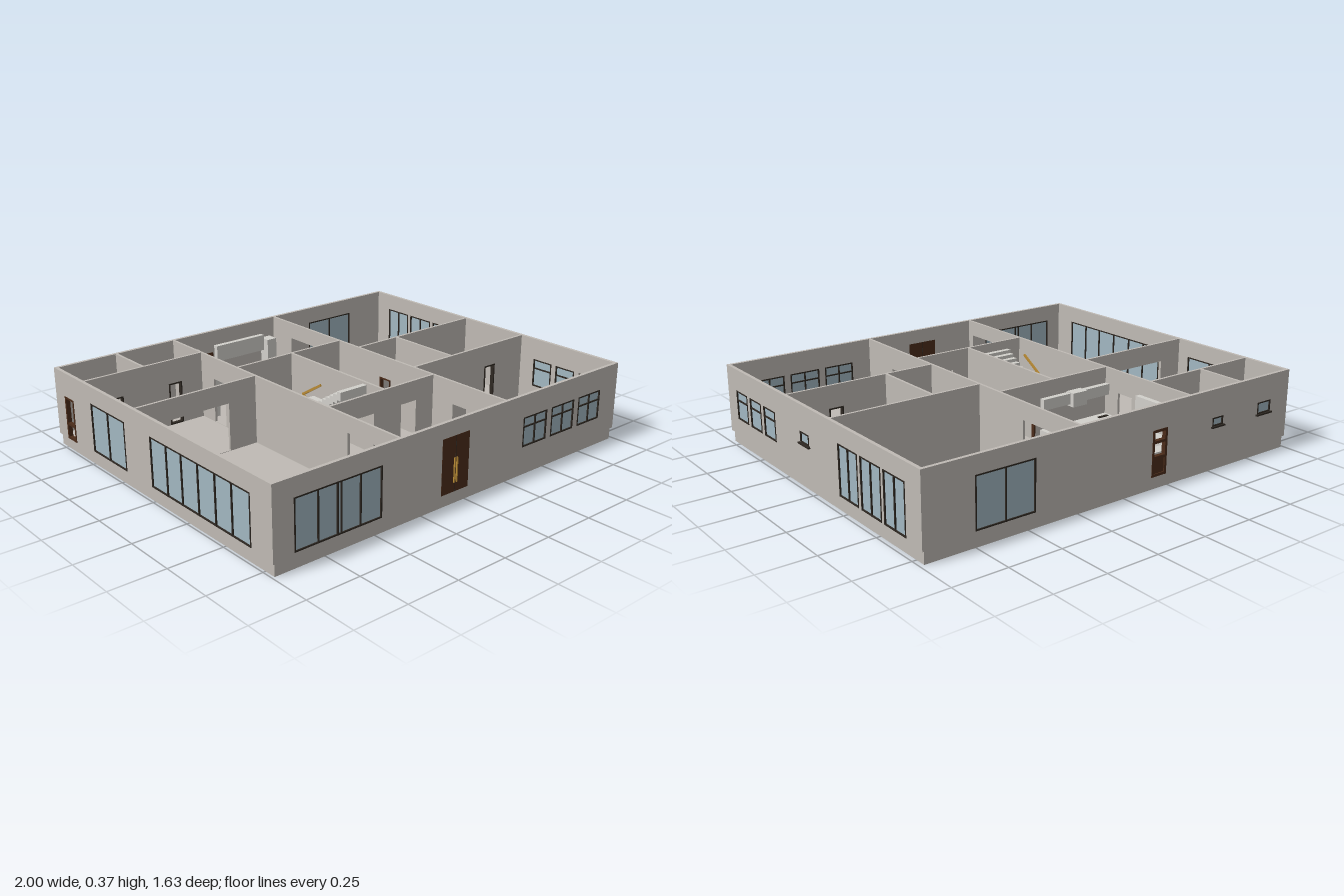
import * as THREE from 'three';

const mat = (name, color) => {
  const m = new THREE.MeshStandardMaterial({ color });
  m.name = name;
  return m;
};

export function createModel() {
  const root = new THREE.Group();
  root.name = 'housePlan';
  const plaster = mat('plaster', 0xbfbab4);
  const glass = mat('glass', 0xa2b7c1);
  const frame = mat('darkFrame', 0x2e2822);
  const wood = mat('darkWood', 0x4b2c1a);
  const gold = mat('gold', 0xb88a35);
  const white = mat('white', 0xd2d0cb);
  const FLOOR = 0.055, TOP = 0.374;

  const add = (parent, name, geo, material) => {
    const m = new THREE.Mesh(geo, material);
    m.name = name;
    parent.add(m);
    return m;
  };
  // Box given by its two extreme corners
  const box = (parent, name, x0, x1, y0, y1, z0, z1, material) => {
    const m = add(parent, name, new THREE.BoxGeometry(x1 - x0, y1 - y0, z1 - z0), material);
    m.position.set((x0 + x1) / 2, (y0 + y1) / 2, (z0 + z1) / 2);
    return m;
  };
  const cyl = (parent, name, x, y, z, r0, r1, h, material) => {
    const m = add(parent, name, new THREE.CylinderGeometry(r0, r1, h, 20), material);
    m.position.set(x, y, z);
    return m;
  };

  // Wall along 'x' (at z = pos) or along 'z' (at x = pos); openings are [from, to, bottom, top]
  const wall = (name, axis, pos, from, to, openings = [], t = 0.012, bottom = 0.05) => {
    const g = new THREE.Group();
    g.name = name;
    const rect = (target, a, b, c, d) => target.moveTo(a, c).lineTo(b, c).lineTo(b, d).lineTo(a, d).closePath();
    const shape = rect(new THREE.Shape(), from, to, bottom, TOP);
    for (const [a, b, c, d] of openings) shape.holes.push(rect(new THREE.Path(), a, b, c, d));
    const geo = new THREE.ExtrudeGeometry(shape, { depth: t, bevelEnabled: false });
    add(g, name + 'Panel', geo.translate(0, 0, -t / 2), plaster);
    if (axis === 'x') g.position.z = pos;
    else { g.position.x = pos; g.rotation.y = -Math.PI / 2; }
    root.add(g);
    return g;
  };
  // Dark border with bars: uprights and rails are fractions of the opening
  const border = (g, name, [a, b, c, d], uprights, rails, material, w = 0.006, t = 0.02) => {
    const h = t / 2;
    for (const f of [0, ...uprights, 1]) {
      const x = a + w / 2 + f * (b - a - w);
      box(g, name + 'Upright', x - w / 2, x + w / 2, c, d, -h, h, material);
    }
    for (const f of [0, ...rails, 1]) {
      const y = c + w / 2 + f * (d - c - w);
      box(g, name + 'Rail', a, b, y - w / 2, y + w / 2, -h + 0.0005, h - 0.0005, material);
    }
  };
  const windowUnit = (g, o, uprights = [], rails = []) => {
    box(g, 'windowGlass', o[0], o[1], o[2], o[3], -0.004, 0.004, glass);
    border(g, 'windowFrame', o, uprights, rails, frame);
  };
  const sill = (g, o, out) => {
    const z = [0, out * 0.018].sort((p, q) => p - q);
    box(g, 'windowSill', o[0] - 0.008, o[1] + 0.008, o[2] - 0.006, o[2] + 0.001, z[0], z[1], frame);
  };

  // Foundation slab
  box(root, 'foundationSlab', -0.988, 0.98, 0, FLOOR, -0.8, 0.804, plaster);

  // Front wall: wide glazing, double door, three windows
  const wide = [-0.9, -0.47, 0.07, 0.292];
  const door = [-0.145, 0.01, 0.057, 0.306];
  const frontSmall = [0.345, 0.53, 0.715].map(x => [x, x + 0.153, 0.135, 0.272]);
  const front = wall('frontWall', 'x', 0.802, -0.998, 0.99, [wide, door, ...frontSmall], 0.016, FLOOR);
  windowUnit(front, wide, [0.26, 0.48, 0.525, 0.75]);
  frontSmall.forEach(o => windowUnit(front, o, [0.5], [0.68]));
  box(front, 'frontDoor', -0.145, 0.01, 0.057, 0.306, -0.008, 0.009, wood);
  box(front, 'doorSeam', -0.069, -0.066, 0.057, 0.306, -0.009, 0.01, frame);
  for (const x of [-0.076, -0.062])
    for (const z of [-0.013, 0.013])
      box(front, 'doorHandle', x - 0.003, x + 0.003, 0.1, 0.21, z - 0.003, z + 0.003, gold);

  // Side wall on +x
  const leftSmall = [0.61, 0.472, 0.335].map(z => [z, z + 0.11, 0.135, 0.272]);
  const tall = [-0.362, -0.532, -0.7].map(z => [z, z + 0.15, 0.07, 0.295]);
  const vent = [0.03, 0.105, 0.205, 0.255];
  const left = wall('leftWall', 'z', 0.982, -0.805, 0.81, [...leftSmall, ...tall, vent], 0.016, FLOOR);
  leftSmall.forEach(o => windowUnit(left, o, [], [0.68]));
  tall.forEach(o => windowUnit(left, o, [0.5]));
  windowUnit(left, vent);
  sill(left, vent, -1);

  // Side wall on -x
  const sideDoor = [-0.72, -0.64, 0.057, 0.26];
  const glassA = [-0.48, -0.2, 0.07, 0.295], glassB = [0, 0.68, 0.07, 0.295];
  const right = wall('rightWall', 'z', -0.99, -0.805, 0.81, [sideDoor, glassA, glassB], 0.016, FLOOR);
  windowUnit(right, glassA, [0.5]);
  windowUnit(right, glassB, [0.17, 0.33, 0.5, 0.67, 0.83]);
  border(right, 'sideDoorFrame', sideDoor, [], [0.35], wood, 0.01);

  // Back wall
  const patio = [0.47, 0.755, 0.07, 0.295];
  const backDoor = [-0.232, -0.148, 0.057, 0.265];
  const backSmall = [[-0.57, -0.505, 0.205, 0.245], [-0.88, -0.795, 0.2, 0.255]];
  const back = wall('backWall', 'x', -0.797, -0.998, 0.99, [patio, backDoor, ...backSmall], 0.016, FLOOR);
  windowUnit(back, patio, [0.5]);
  border(back, 'backDoorFrame', backDoor, [], [0.4, 0.75], wood, 0.012);
  box(back, 'backDoorPanel', -0.23, -0.15, 0.06, 0.14, -0.005, 0.005, wood);
  backSmall.forEach(o => { windowUnit(back, o); sill(back, o, -1); });

  // Inner walls with doorways
  const D = 0.057;
  const bathDoors = [[-0.87, -0.8, D, 0.26], [-0.56, -0.49, D, 0.26]];
  const bath = wall('bathWall', 'x', -0.555, -0.982, -0.37, bathDoors);
  bathDoors.forEach(o => border(bath, 'doorFrame', o, [], [], frame));
  wall('bathDivider', 'z', -0.685, -0.79, -0.555);
  wall('livingWall', 'x', -0.13, -0.982, -0.37, [[-0.86, -0.52, D, 0.28]]);
  wall('westHallWall', 'z', -0.37, -0.79, 0.795, [[-0.45, -0.36, D, 0.27], [0.5, 0.76, D, 0.3]]);
  const hallDoor = [0.03, 0.1, D, 0.27];
  const east = wall('eastHallWall', 'z', 0.24, -0.79, 0.795,
    [[-0.64, -0.44, D, 0.295], hallDoor, [0.5, 0.58, D, 0.27]]);
  border(east, 'doorFrame', hallDoor, [], [], wood);
  const kitchenDoor = [0.05, 0.12, D, 0.27];
  const kw = wall('kitchenWall', 'x', -0.27, -0.37, 0.24, [kitchenDoor]);
  border(kw, 'doorFrame', kitchenDoor, [], [], wood);
  wall('stairWall', 'z', -0.055, -0.27, 0.37);
  wall('entryWall', 'x', 0.37, -0.37, 0.24, [[-0.31, -0.12, D, 0.28], [0.04, 0.13, D, 0.28]]);
  wall('northBedroomWall', 'x', -0.13, 0.24, 0.976);
  wall('washroomDivider', 'z', 0.485, -0.13, 0.245);
  const bedDoor = [0.71, 0.78, D, 0.27];
  const bed = wall('southBedroomWall', 'x', 0.245, 0.24, 0.976, [bedDoor]);
  border(bed, 'doorFrame', bedDoor, [], [], frame);

  // Switchback stair: lower flight rises to the landing, upper flight returns
  const stairs = new THREE.Group();
  stairs.name = 'stairs';
  root.add(stairs);
  const N = 10, run = 0.025, rise = 0.0155, mid = FLOOR + N * rise;
  for (let i = 0; i < N; i++) {
    const zl = 0.265 - i * run, zu = 0.015 + i * run;
    const yl = FLOOR + (i + 1) * rise, yu = mid + (i + 1) * rise;
    box(stairs, 'lowerStep', -0.362, -0.218, Math.max(FLOOR, yl - 0.04), yl, zl - run, zl, white);
    box(stairs, 'upperStep', -0.212, -0.063, yu - 0.04, yu, zu, zu + run, white);
  }
  box(stairs, 'landing', -0.362, -0.063, mid - 0.025, mid, -0.1, 0.015, white);
  const rail = (y0, z0, y1, z1, m) => {
    const bar = add(stairs, 'handrail', new THREE.BoxGeometry(0.008, 0.01, Math.hypot(z1 - z0, y1 - y0)), m);
    bar.position.set(-0.215, (y0 + y1) / 2, (z0 + z1) / 2);
    bar.rotation.x = -Math.atan2(y1 - y0, z1 - z0);
  };
  rail(0.29, 0.015, 0.364, 0.135, gold);
  rail(0.285, 0.015, 0.14, 0.265, gold);
  box(stairs, 'newelPost', -0.219, -0.211, mid, 0.295, 0.01, 0.02, gold);
  box(stairs, 'footPost', -0.219, -0.211, FLOOR, 0.145, 0.26, 0.27, plaster);

  // Kitchen units: counters below, cupboards above
  const kitchen = new THREE.Group();
  kitchen.name = 'kitchen';
  root.add(kitchen);
  const counter = (x0, x1, z0, z1, y = 0.155) => box(kitchen, 'counter', x0, x1, FLOOR, y, z0, z1, white);
  counter(-0.363, -0.312, -0.788, -0.5);
  counter(-0.312, 0.15, -0.788, -0.735);
  counter(0.15, 0.205, -0.788, -0.73, 0.28);
  counter(0.18, 0.233, -0.73, -0.65);
  counter(-0.363, 0.02, -0.33, -0.277);
  counter(0.16, 0.233, -0.325, -0.277);
  counter(0.18, 0.233, -0.425, -0.325);
  box(kitchen, 'cupboard', -0.363, -0.337, 0.22, 0.3, -0.788, -0.5, white);
  box(kitchen, 'cupboard', -0.337, -0.24, 0.22, 0.3, -0.788, -0.762, white);
  box(kitchen, 'cupboard', -0.14, 0.15, 0.22, 0.3, -0.788, -0.762, white);
  box(kitchen, 'cupboard', -0.363, 0.02, 0.25, 0.3, -0.303, -0.277, white);
  box(kitchen, 'hob', -0.345, -0.29, 0.155, 0.159, -0.322, -0.308, frame);
  box(kitchen, 'extractor', -0.21, -0.13, 0.24, 0.305, -0.325, -0.277, white);
  // Island with bowls and stools
  box(kitchen, 'islandBase', -0.18, 0.04, FLOOR, 0.145, -0.59, -0.525, wood);
  box(kitchen, 'islandTop', -0.19, 0.052, 0.145, 0.155, -0.605, -0.51, white);
  for (const x of [-0.13, -0.07, -0.008]) {
    const lamp = add(kitchen, 'goldBowl', new THREE.SphereGeometry(0.012, 16, 10), gold);
    lamp.position.set(x, 0.166, -0.557);
  }
  for (const x of [-0.145, -0.068, 0.008]) {
    cyl(kitchen, 'stoolSeat', x, 0.13, -0.49, 0.021, 0.021, 0.012, wood);
    cyl(kitchen, 'stoolLeg', x, 0.09, -0.49, 0.004, 0.004, 0.07, frame);
    cyl(kitchen, 'stoolFoot', x, 0.058, -0.49, 0.016, 0.018, 0.006, wood);
  }

  // Washroom fittings
  const wash = new THREE.Group();
  wash.name = 'washroom';
  root.add(wash);
  const basin = (x0, x1, z0, z1) => {
    const x = (x0 + x1) / 2, z = (z0 + z1) / 2;
    box(wash, 'vanity', x0, x1, FLOOR, 0.14, z0, z1, white);
    cyl(wash, 'basin', x, 0.146, z, 0.022, 0.016, 0.014, white);
    cyl(wash, 'basinDrain', x, 0.154, z, 0.005, 0.005, 0.004, frame);
  };
  basin(0.493, 0.575, -0.115, -0.065);
  basin(0.427, 0.478, 0.155, 0.235);
  cyl(wash, 'tap', 0.512, 0.16, -0.07, 0.006, 0.006, 0.04, gold);
  const toilet = (x, z, turn) => {
    const g = new THREE.Group();
    g.name = 'toilet';
    box(g, 'cistern', -0.015, 0.015, 0, 0.08, -0.022, -0.008, white);
    box(g, 'bowl', -0.012, 0.012, 0, 0.045, -0.008, 0.03, white);
    g.position.set(x, FLOOR, z);
    g.rotation.y = turn;
    wash.add(g);
  };
  toilet(0.515, 0.203, Math.PI / 2);
  toilet(0.28, 0.21, Math.PI);

  return root;
}
